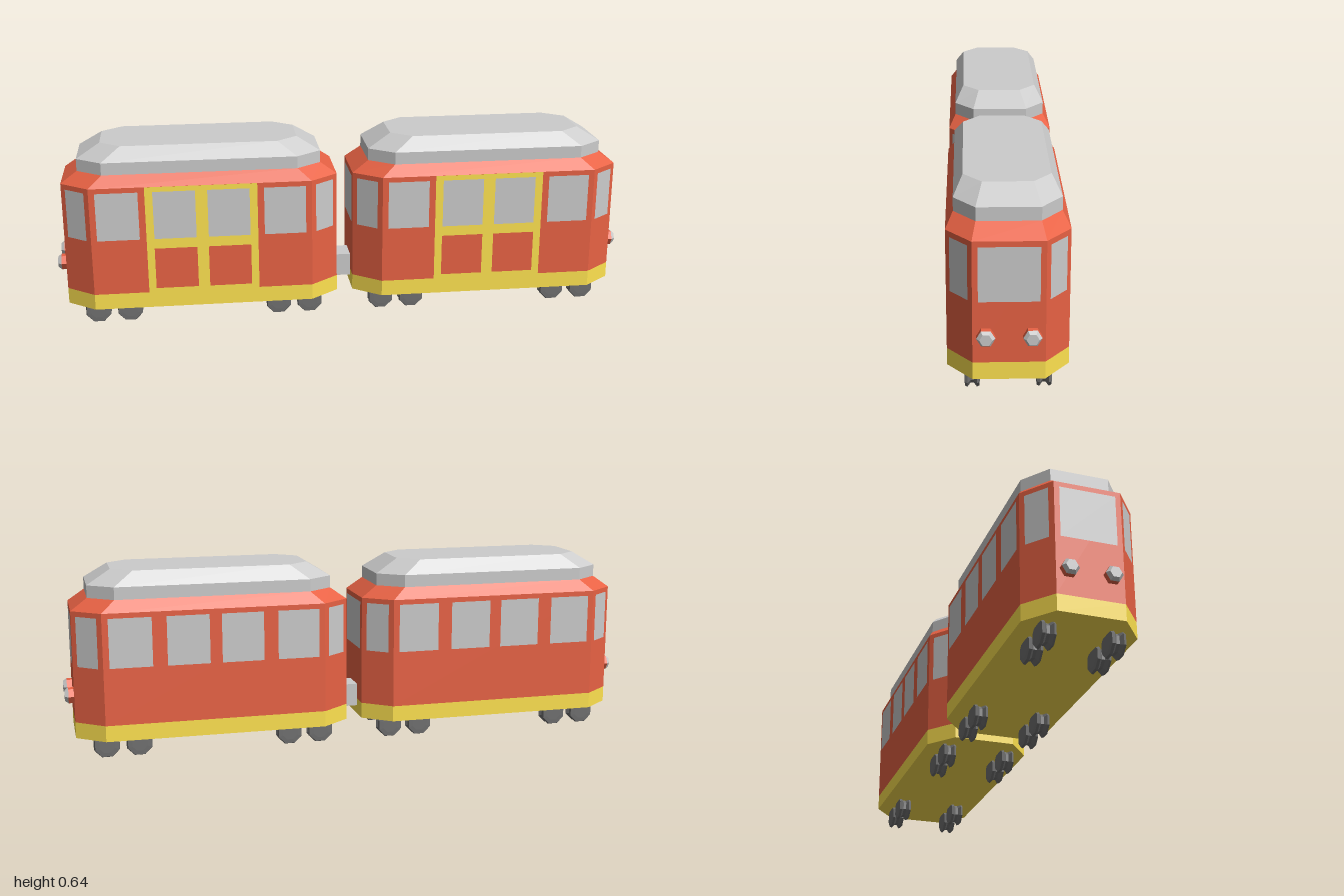
import * as THREE from 'three';

const paint = (color) => new THREE.MeshStandardMaterial({ color, flatShading: true });
const RED = paint(0xe86244), YELLOW = paint(0xffe350), GREY = paint(0xcccccc), DARK = paint(0x707070);

// Car plan: half length, half width, half width of the end, where the corner cut starts
const L = 0.471, W = 0.183, E = 0.107, C = 0.376;
const CAR_X = 0.499;

function add(parent, name, geometry, material, x = 0, y = 0, z = 0) {
  const mesh = new THREE.Mesh(geometry, material);
  mesh.name = name;
  mesh.position.set(x, y, z);
  parent.add(mesh);
  return mesh;
}

// Eight-sided shell through rings of [y, half length, half width, end half width, corner start]
function loft(rings, capBottom, capTop) {
  const loops = rings.map(([y, l, w, e, c]) =>
    [[-c, w], [c, w], [l, e], [l, -e], [c, -w], [-c, -w], [-l, -e], [-l, e]].map(([x, z]) => [x, y, z]));
  const out = [];
  const tri = (a, b, c) => out.push(...a, ...b, ...c);
  for (let r = 0; r + 1 < loops.length; r++) {
    for (let i = 0; i < 8; i++) {
      const j = (i + 1) % 8, low = loops[r], up = loops[r + 1];
      tri(low[i], low[j], up[j]);
      tri(low[i], up[j], up[i]);
    }
  }
  const top = loops[loops.length - 1], bottom = loops[0];
  for (let i = 1; i < 7; i++) {
    if (capTop) tri(top[0], top[i], top[i + 1]);
    if (capBottom) tri(bottom[0], bottom[i + 1], bottom[i]);
  }
  const geometry = new THREE.BufferGeometry();
  geometry.setAttribute('position', new THREE.Float32BufferAttribute(out, 3));
  geometry.computeVertexNormals();
  return geometry;
}

// Flat panel lying just proud of a wall that faces (nx, nz)
function panel(parent, name, material, w, y0, y1, x, z, nx, nz, lift = 0.001) {
  const len = Math.hypot(nx, nz);
  const mesh = add(parent, name, new THREE.PlaneGeometry(w, y1 - y0), material,
    x + nx / len * lift, (y0 + y1) / 2, z + nz / len * lift);
  mesh.rotation.y = Math.atan2(nx, nz);
}

// Eight-sided wheel with a grooved tread, axle along z
const wheelGeometry = new THREE.LatheGeometry(
  [[0, -0.023], [0.028, -0.023], [0.043, -0.022], [0.0465, -0.014], [0.034, -0.005],
    [0.034, 0.005], [0.0465, 0.014], [0.043, 0.022], [0.028, 0.023], [0, 0.023]]
    .map(([r, y]) => new THREE.Vector2(r, y)), 8, Math.PI / 8).rotateX(Math.PI / 2);

function createCar(name, outward) {
  const car = new THREE.Group();
  car.name = name;

  // Shell
  add(car, 'skirt', loft([[0.07, L, W, E, C], [0.125, L, W, E, C]], true, false), YELLOW);
  add(car, 'body', loft([[0.125, L, W, E, C], [0.505, L, W, E, C], [0.545, 0.415, 0.16, 0.095, 0.33]]), RED);
  add(car, 'roof', loft([[0.545, 0.415, 0.16, 0.095, 0.33], [0.587, 0.415, 0.16, 0.095, 0.33],
    [0.636, 0.335, 0.131, 0.075, 0.265]], false, true), GREY);

  // Double door on the front side
  panel(car, 'doorFrame', YELLOW, 0.38, 0.125, 0.505, 0, W, 0, 1);
  for (const x of [-0.092, 0.092]) panel(car, 'doorPanel', RED, 0.145, 0.14, 0.285, x, W, 0, 1, 0.002);

  // Windows
  for (const sz of [-1, 1]) {
    for (const x of [-0.284, -0.092, 0.092, 0.284]) {
      panel(car, 'sideWindow', GREY, 0.143, 0.32, 0.488, x, sz * W, 0, sz, 0.002);
    }
  }
  for (const sx of [-1, 1]) {
    panel(car, 'endWindow', GREY, 0.18, 0.318, 0.488, sx * L, 0, sx, 0);
    for (const sz of [-1, 1]) {
      panel(car, 'cornerWindow', GREY, 0.083, 0.318, 0.488,
        sx * (C + L) / 2, sz * (W + E) / 2, sx * (W - E), sz * (L - C));
    }
  }

  // Headlights on the outer end
  for (const z of [-0.068, 0.068]) {
    const lamp = new THREE.Group();
    lamp.name = 'headlight';
    lamp.position.set(outward * L, 0.21, z);
    lamp.rotation.z = -outward * Math.PI / 2;
    add(lamp, 'lampHousing', new THREE.CylinderGeometry(0.028, 0.028, 0.018, 6), RED, 0, 0.009, 0);
    add(lamp, 'lampLens', new THREE.CylinderGeometry(0.019, 0.028, 0.012, 6), GREY, 0, 0.024, 0);
    car.add(lamp);
  }

  // Wheels in two pairs per side
  for (const x of [-0.371, -0.261, 0.261, 0.371]) {
    for (const z of [-0.108, 0.108]) {
      // Short wheel radius below the axle puts the flats on the ground
      add(car, 'wheel', wheelGeometry, DARK, x, 0.043, z * 1.15 * 0.87);
    }
  }
  return car;
}

export function createModel() {
  const tram = new THREE.Group();
  tram.name = 'tram';
  for (const side of [-1, 1]) {
    const car = createCar(side > 0 ? 'leftCar' : 'rightCar', side);
    car.position.x = side * CAR_X;
    tram.add(car);
  }
  add(tram, 'coupling', new THREE.BoxGeometry(0.08, 0.08, 0.09), GREY, 0, 0.14, 0);
  return tram;
}
